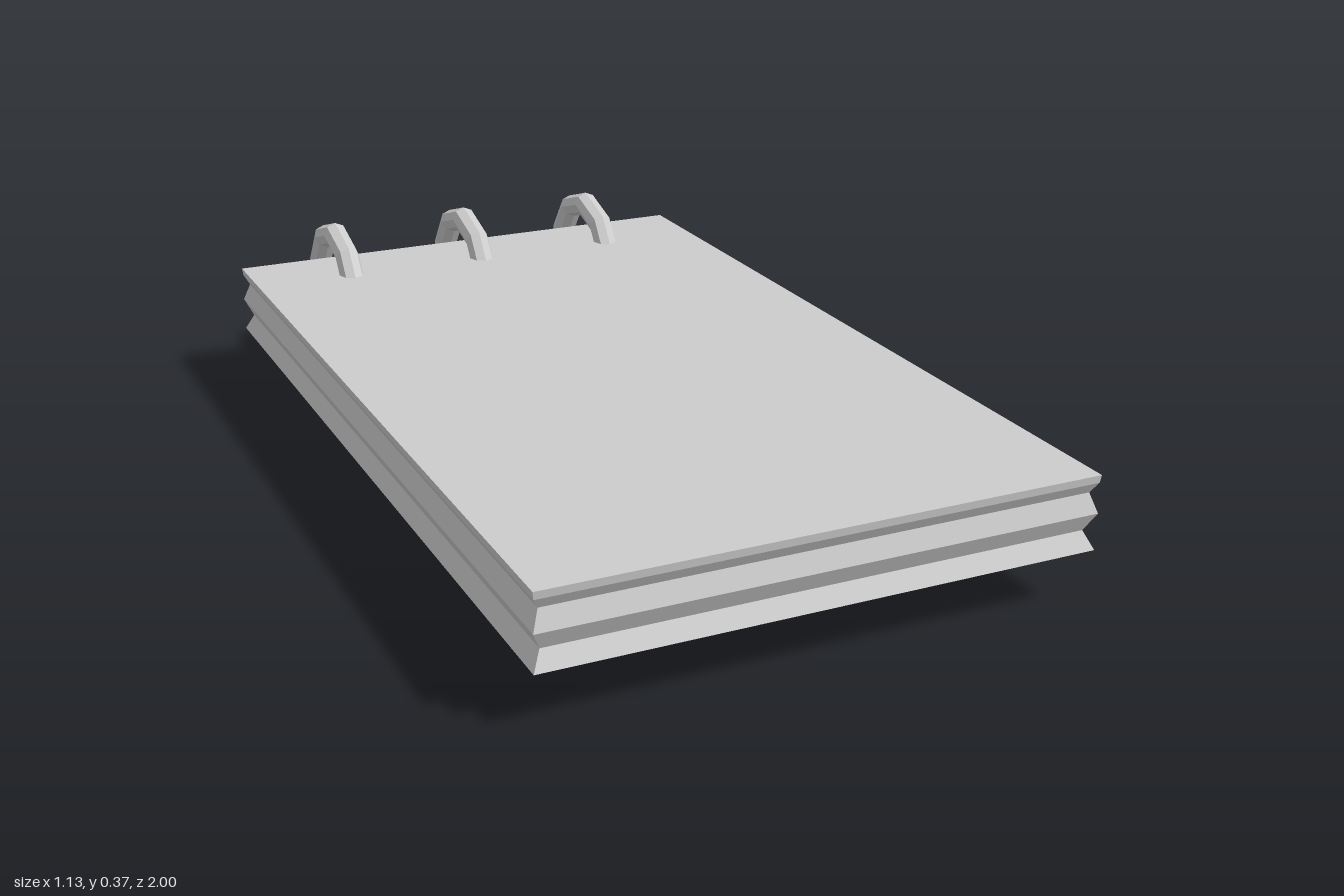
import * as THREE from 'three';

const grey = new THREE.MeshStandardMaterial({ color: 0xcccccc, flatShading: true });

// Rectangular solid lofted through levels of [height, inset]
function stackedBlock(halfX, halfZ, levels) {
  const positions = [];
  const index = [];
  for (const [y, inset] of levels) {
    const x = halfX - inset;
    const z = halfZ - inset;
    positions.push(-x, y, z, x, y, z, x, y, -z, -x, y, -z);
  }
  for (let i = 0; i < levels.length - 1; i++) {
    for (let k = 0; k < 4; k++) {
      const a = i * 4 + k;
      const b = i * 4 + (k + 1) % 4;
      index.push(a, b, b + 4, a, b + 4, a + 4);
    }
  }
  const t = (levels.length - 1) * 4;
  index.push(0, 2, 1, 0, 3, 2, t, t + 1, t + 2, t, t + 2, t + 3);
  const geometry = new THREE.BufferGeometry();
  geometry.setAttribute('position', new THREE.Float32BufferAttribute(positions, 3));
  geometry.setIndex(index);
  const flat = geometry.toNonIndexed();
  flat.computeVertexNormals();
  return flat;
}

export function createModel() {
  const group = new THREE.Group();
  group.name = 'ringBoundNotepad';

  // Page block with pinched edges between the cover and leaves
  const pad = new THREE.Mesh(stackedBlock(0.565, 0.929, [
    [0.12, 0], [0.157, 0.018], [0.195, 0], [0.235, 0.014], [0.257, 0.002], [0.273, 0],
  ]), grey);
  pad.name = 'pagesAndCovers';
  pad.position.z = 0.071;
  group.add(pad);

  // Three binding rings passing through the back edge
  const ringGeometry = new THREE.TorusGeometry(0.154, 0.029, 8, 10);
  ringGeometry.rotateZ(Math.PI / 2).rotateY(Math.PI / 2);
  [-0.335, 0, 0.335].forEach((x, i) => {
    const ring = new THREE.Mesh(ringGeometry, grey);
    ring.name = `bindingRing${i + 1}`;
    ring.position.set(x, 0.186, -0.826);
    group.add(ring);
  });

  return group;
}
